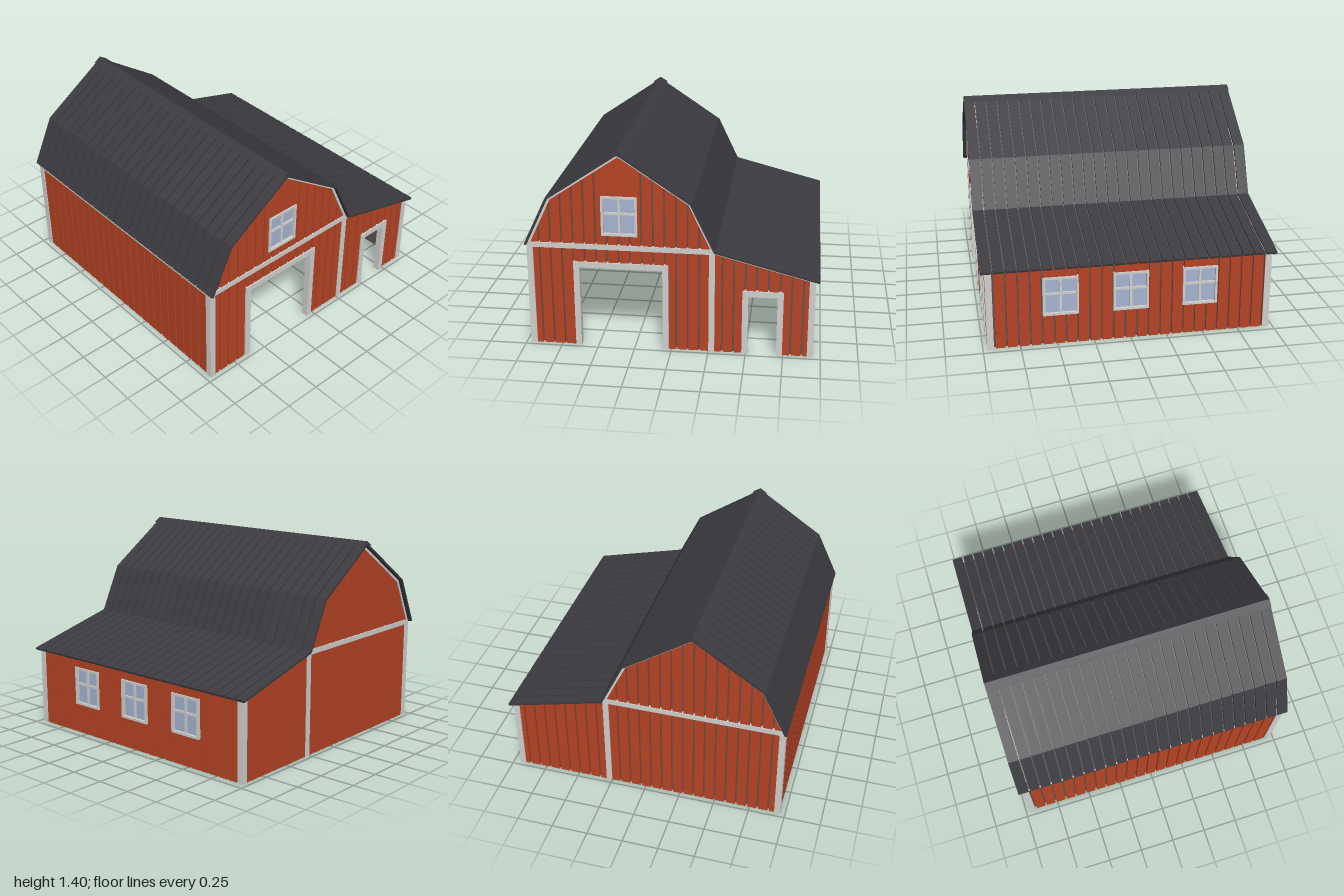
import * as THREE from 'three';
import { mergeGeometries } from 'three/addons/utils/BufferGeometryUtils.js';

const mat = (name, color) => {
  const m = new THREE.MeshStandardMaterial({ color });
  m.name = name;
  return m;
};

export function createModel() {
  const red = mat('barn red', 0xb54324);
  const white = mat('trim white', 0xcfcfcd);
  const dark = mat('roof charcoal', 0x3c3b40);
  const brown = mat('inner brown', 0x5d5350);
  const blue = mat('window glass', 0xa5b4d0);

  const barn = new THREE.Group();
  barn.name = 'barn';

  const add = (name, geo, material, parent = barn) => {
    const m = new THREE.Mesh(geo, material);
    m.name = name;
    parent.add(m);
    return m;
  };
  // box given by its lower and upper limits
  const box = (name, x0, x1, y0, y1, z0, z1, material, parent = barn) => {
    const m = add(name, new THREE.BoxGeometry(x1 - x0, y1 - y0, z1 - z0), material, parent);
    m.position.set((x0 + x1) / 2, (y0 + y1) / 2, (z0 + z1) / 2);
    return m;
  };
  const extrude = (pts, z0, z1) => {
    const shape = new THREE.Shape(pts.map(p => new THREE.Vector2(p[0], p[1])));
    return new THREE.ExtrudeGeometry(shape, { depth: z1 - z0, bevelEnabled: false }).translate(0, 0, z0);
  };

  // roof line: gambrel over the main bay, then the lean-to
  const roof = [[-0.977, 0.735], [-0.82, 1.067], [-0.34, 1.39], [0.14, 1.067], [0.295, 0.742], [0.977, 0.565]];
  const heightOn = (line, x) => {
    let i = 0;
    while (i < line.length - 2 && x > line[i + 1][0]) i++;
    const [a, b] = [line[i], line[i + 1]];
    return a[1] + (b[1] - a[1]) * (x - a[0]) / (b[0] - a[0]);
  };
  // parallel line, d below, with mitred corners
  const lower = (line, d) => line.map((p, i) => {
    const normal = (a, b) => {
      const dx = b[0] - a[0], dy = b[1] - a[1], l = Math.hypot(dx, dy);
      return [dy / l, -dx / l];
    };
    const n1 = normal(line[Math.max(i - 1, 0)], line[Math.max(i, 1)]);
    const last = line.length - 1;
    const n2 = normal(line[Math.min(i, last - 1)], line[Math.min(i + 1, last)]);
    const k = d / (1 + n1[0] * n2[0] + n1[1] * n2[1]);
    return [p[0] + (n1[0] + n2[0]) * k, p[1] + (n1[1] + n2[1]) * k];
  });
  const band = (line, d, z0, z1) => extrude([...line, ...lower(line, d).reverse()], z0, z1);
  const cut = (line, x0, x1) =>
    [[x0, heightOn(line, x0)], ...line.filter(p => p[0] > x0 && p[0] < x1), [x1, heightOn(line, x1)]];

  // roof panels with narrow gaps
  const panels = [];
  for (let i = 0; i < 25; i++) {
    const z = -1 + i * 0.08;
    panels.push(band(roof, 0.015, z + (i ? 0.005 : 0), z + 0.08 - (i < 24 ? 0.005 : 0)));
  }
  add('roofPanels', mergeGeometries(panels), dark);
  add('ridgeCap', extrude([[-0.39, 1.368], [-0.285, 1.368], [-0.34, 1.402]], -1, 1), dark);

  // ceiling and rake trim under the panels
  const under = lower(roof, 0.015);
  add('ceiling', band(cut(under, -0.96, 0.93), 0.01, -0.945, 0.945), brown);
  for (const s of [-1, 1]) {
    const z = s * 0.947;
    add('rakeTrim', band(cut(under, -0.967, 0.948), 0.016, z - 0.025, z + 0.025), white);
  }

  // wall cut into upright strips, leaving out holes [a, b, low, high]
  const wall = (u0, u1, top, holes, depth) => {
    const cuts = [u0, u1, ...under.map(p => p[0]), ...holes.flatMap(h => [h[0], h[1]])]
      .filter(u => u >= u0 && u <= u1).sort((a, b) => a - b);
    const parts = [];
    for (let i = 0; i < cuts.length - 1; i++) {
      const a = cuts[i], b = cuts[i + 1], mid = (a + b) / 2;
      if (b - a < 1e-5) continue;
      let y = 0;
      for (const h of holes.filter(h => h[0] < mid && h[1] > mid).sort((p, q) => p[2] - q[2])) {
        if (h[2] > y) parts.push(extrude([[a, y], [b, y], [b, h[2]], [a, h[2]]], 0, depth));
        y = h[3];
      }
      if (y < top(mid)) parts.push(extrude([[a, y], [b, y], [b, top(b)], [a, top(a)]], 0, depth));
    }
    return mergeGeometries(parts);
  };
  const gaps = (start, step, count) =>
    Array.from({ length: count }, (_, i) => [start + i * step - 0.006, start + i * step + 0.006, -1, 9]);

  // openings
  const doors = [[-0.655, -0.018, 0.615], [0.473, 0.745, 0.46]];
  const W = 0.24, H = 0.275;
  const winHole = (u, y) => [u - W / 2 + 0.01, u + W / 2 - 0.01, y - H / 2 + 0.01, y + H / 2 - 0.01];
  const gableWin = [-0.34, 0.947], sideWins = [-0.475, 0, 0.475], sideY = 0.35;
  const frontHoles = [...doors.map(d => [d[0] + 0.02, d[1] - 0.02, -1, d[2] - 0.02]), winHole(...gableWin)];
  const sideHoles = sideWins.map(z => winHole(z, sideY));

  // front and back walls: boards outside, lining inside
  const roofTop = x => heightOn(under, x);
  const xGaps = gaps(-0.881, 0.0763, 24), zGaps = gaps(-0.92, 0.08, 24);
  for (const [name, s, holes] of [['front', 1, frontHoles], ['back', -1, []]]) {
    add(name + 'Boards', wall(-0.96, 0.945, roofTop, [...holes, ...xGaps], 0.02), red)
      .position.z = s > 0 ? 0.945 : -0.965;
    add(name + 'Lining', wall(-0.94, 0.925, roofTop, holes, 0.01), brown)
      .position.z = s > 0 ? 0.935 : -0.945;
  }
  // side walls
  for (const [name, s, x, holes] of [['left', 1, 0.945, sideHoles], ['right', -1, -0.96, []]]) {
    const top = () => roofTop(x);
    add(name + 'Boards', wall(-0.96, 0.96, top, [...holes, ...zGaps], 0.02).rotateY(Math.PI / 2), red)
      .position.x = s > 0 ? x - 0.02 : x;
    add(name + 'Lining', wall(-0.94, 0.94, top, holes, 0.01).rotateY(Math.PI / 2), brown)
      .position.x = s > 0 ? x - 0.03 : x + 0.02;
  }

  // corner posts, middle posts and cross bands
  for (const s of [-1, 1]) {
    const [z0, z1] = s > 0 ? [0.927, 0.972] : [-0.972, -0.927];
    box('cornerPost', -0.967, -0.925, 0, 0.735, z0, z1, white);
    box('cornerPost', 0.91, 0.95, 0, 0.553, z0, z1, white);
    box('middlePost', 0.25, 0.29, 0, 0.725, z0, z1, white);
    box('crossBand', -0.967, 0.29, 0.708, 0.743, z0, z1, white);
  }
  box('eaveBand', -0.967, -0.922, 0.708, 0.738, -0.96, 0.96, white);

  // door frames
  for (const [a, b, h] of doors) {
    const frame = new THREE.Group();
    frame.name = 'doorFrame';
    box('jamb', a, a + 0.04, 0, h, 0.927, 0.975, white, frame);
    box('jamb', b - 0.04, b, 0, h, 0.927, 0.975, white, frame);
    box('lintel', a + 0.04, b - 0.04, h - 0.04, h, 0.927, 0.975, white, frame);
    barn.add(frame);
  }

  // windows, centred on the wall and facing +z
  const makeWindow = () => {
    const g = new THREE.Group(), w = W / 2, h = H / 2, t = 0.016;
    g.name = 'window';
    for (const s of [-1, 1]) {
      const m = s * (w - t / 2), n = s * (h - t / 2);
      box('frameSide', m - t / 2, m + t / 2, -h, h, -0.022, 0.025, white, g);
      box('frameRail', -w + t, w - t, n - t / 2, n + t / 2, -0.022, 0.025, white, g);
    }
    box('glass', -w + t, w - t, -h + t, h - t, -0.004, 0.004, blue, g);
    box('uprightBar', -0.008, 0.008, -h + t, h - t, -0.014, 0.016, white, g);
    box('crossBar', -w + t, w - t, 0.008, 0.024, -0.013, 0.015, white, g);
    barn.add(g);
    return g;
  };
  makeWindow().position.set(gableWin[0], gableWin[1], 0.95);
  for (const z of sideWins) {
    const w = makeWindow();
    w.rotation.y = Math.PI / 2;
    w.position.set(0.93, sideY, z);
  }

  return barn;
}
